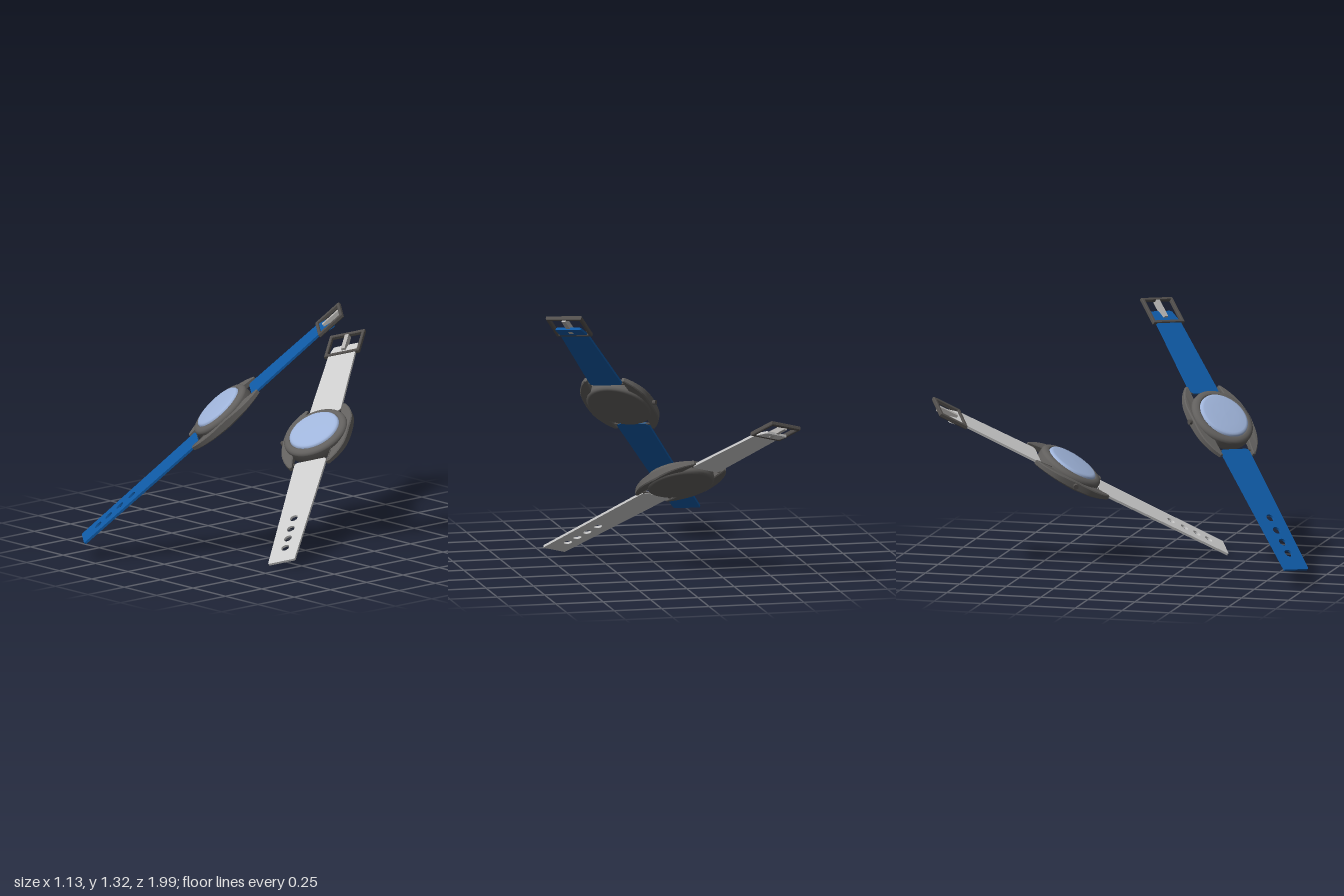
import * as THREE from 'three';

const mat = (color) => new THREE.MeshStandardMaterial({ color, side: THREE.DoubleSide });

function add(parent, name, geometry, material) {
  const mesh = new THREE.Mesh(geometry, material);
  mesh.name = name;
  parent.add(mesh);
  return mesh;
}

// Tapered strip from y0 to y1 with rounded corners and optional round holes
function strip(y0, w0, y1, w1, r0, r1, holes = [], thick = 0.012) {
  const s = new THREE.Shape();
  s.moveTo(-w0 + r0, y0);
  s.lineTo(w0 - r0, y0);
  s.quadraticCurveTo(w0, y0, w0, y0 + r0);
  s.lineTo(w1, y1 - r1);
  s.quadraticCurveTo(w1, y1, w1 - r1, y1);
  s.lineTo(-w1 + r1, y1);
  s.quadraticCurveTo(-w1, y1, -w1, y1 - r1);
  s.lineTo(-w0, y0 + r0);
  s.quadraticCurveTo(-w0, y0, -w0 + r0, y0);
  for (const y of holes) s.holes.push(new THREE.Path().absarc(0, y, 0.022, 0, Math.PI * 2, true));
  return new THREE.ExtrudeGeometry(s, { depth: thick, bevelEnabled: false, curveSegments: 10 })
    .translate(0, 0, -thick / 2);
}

// Crescent along one side of the case, ending in two tapered lugs
function lugGeometry() {
  const s = new THREE.Shape();
  s.moveTo(0.098, -0.225);
  s.lineTo(0.112, -0.226);
  s.splineThru([[0.15, -0.175], [0.18, -0.1], [0.188, 0], [0.18, 0.1], [0.15, 0.175], [0.112, 0.226]]
    .map(([x, y]) => new THREE.Vector2(x, y)));
  s.lineTo(0.098, 0.225);
  s.lineTo(0.106, 0.13);
  s.lineTo(0.106, -0.13);
  const g = new THREE.ExtrudeGeometry(s, {
    depth: 0.036, bevelThickness: 0.007, bevelSize: 0.005, bevelOffset: -0.005, bevelSegments: 1, curveSegments: 14,
  }).translate(0, 0, -0.012);
  // thin the crescent towards its tips
  const p = g.attributes.position;
  for (let i = 0; i < p.count; i++) p.setZ(i, p.getZ(i) * (1 - 2.2 * Math.abs(p.getY(i))));
  g.computeVertexNormals();
  return g;
}

const lathe = (points) =>
  new THREE.LatheGeometry(points.map(([r, z]) => new THREE.Vector2(r, z)), 48).rotateX(Math.PI / 2);

// Watch lying in its own frame: x across, y along the strap, z out of the dial
function watch(name, strapMaterial) {
  const g = new THREE.Group();
  g.name = name;
  const dark = mat(0x62605e), metal = mat(0x524f4d), glass = mat(0x9fb4da), pale = mat(0xb4b2b0);

  // Case, bezel and glass
  add(g, 'caseBody', lathe([[0, -0.024], [0.158, -0.024], [0.17, -0.018], [0.175, -0.006], [0.175, 0.03]]), dark);
  add(g, 'bezel', lathe([[0.175, 0.03], [0.174, 0.037], [0.168, 0.045], [0.158, 0.05], [0.146, 0.052],
    [0.139, 0.05], [0.137, 0.044]]), dark);
  add(g, 'glass', lathe([[0.138, 0.046], [0.136, 0.055], [0.13, 0.06], [0.12, 0.063], [0.07, 0.066], [0, 0.067]]), glass);

  // Side crescents with lugs
  for (const angle of [0, Math.PI]) add(g, 'lugs', lugGeometry(), dark).rotation.z = angle;

  // Crown
  const crown = add(g, 'crown', new THREE.CylinderGeometry(0.013, 0.013, 0.024, 16), metal);
  crown.rotation.z = Math.PI / 2;
  crown.position.set(-0.192, 0, 0.008);

  // Strap halves, with the tab folded behind the buckle bar
  add(g, 'lowerStrap', strip(-0.98, 0.076, -0.185, 0.09, 0.008, 0.02, [-0.873, -0.8, -0.723, -0.64]), strapMaterial);
  add(g, 'upperStrap', strip(0.185, 0.09, 0.655, 0.077, 0.02, 0.001), strapMaterial);
  const tab = add(g, 'strapTab', strip(0, 0.077, 0.09, 0.073, 0.001, 0.015), strapMaterial);
  tab.position.y = 0.653;
  tab.rotation.x = -0.2;

  // Spring bars joining strap and lugs
  for (const y of [-0.19, 0.19]) {
    const bar = add(g, 'springBar', new THREE.CylinderGeometry(0.006, 0.006, 0.21, 10), metal);
    bar.rotation.z = Math.PI / 2;
    bar.position.y = y;
  }

  // Buckle frame and tongue
  const frame = new THREE.Shape();
  frame.moveTo(-0.1, 0.65).lineTo(0.1, 0.65).lineTo(0.1, 0.815).lineTo(-0.1, 0.815).closePath();
  const hole = new THREE.Path();
  hole.moveTo(-0.083, 0.667).lineTo(-0.083, 0.798).lineTo(0.083, 0.798).lineTo(0.083, 0.667).closePath();
  frame.holes.push(hole);
  add(g, 'buckle', new THREE.ExtrudeGeometry(frame, {
    depth: 0.014, bevelThickness: 0.004, bevelSize: 0.003, bevelOffset: -0.003, bevelSegments: 1,
  }).translate(0, 0, -0.005), metal);
  add(g, 'buckleTongue', new THREE.BoxGeometry(0.022, 0.115, 0.03), pale).position.set(0, 0.747, -0.003);
  return g;
}

// Place a watch by its centre, its strap direction and its cross direction
function place(g, centre, along, across) {
  const y = new THREE.Vector3(...along).normalize();
  const z = new THREE.Vector3(...across).cross(y).normalize();
  const x = new THREE.Vector3().crossVectors(y, z);
  g.quaternion.setFromRotationMatrix(new THREE.Matrix4().makeBasis(x, y, z));
  g.position.set(...centre);
  return g;
}

export function createModel() {
  const model = new THREE.Group();
  model.name = 'watches';
  model.add(
    place(watch('blueWatch', mat(0x0f5aa6)), [0.082, 0.7535, 0.408], [0.4925, 0.6745, -0.55], [0.792, -0.082, 0.605]),
    place(watch('greyWatch', mat(0xcccccc)), [-0.059, 0.484, -0.363], [-0.515, 0.4695, -0.717], [0.851, 0.274, -0.448]),
  );
  return model;
}
